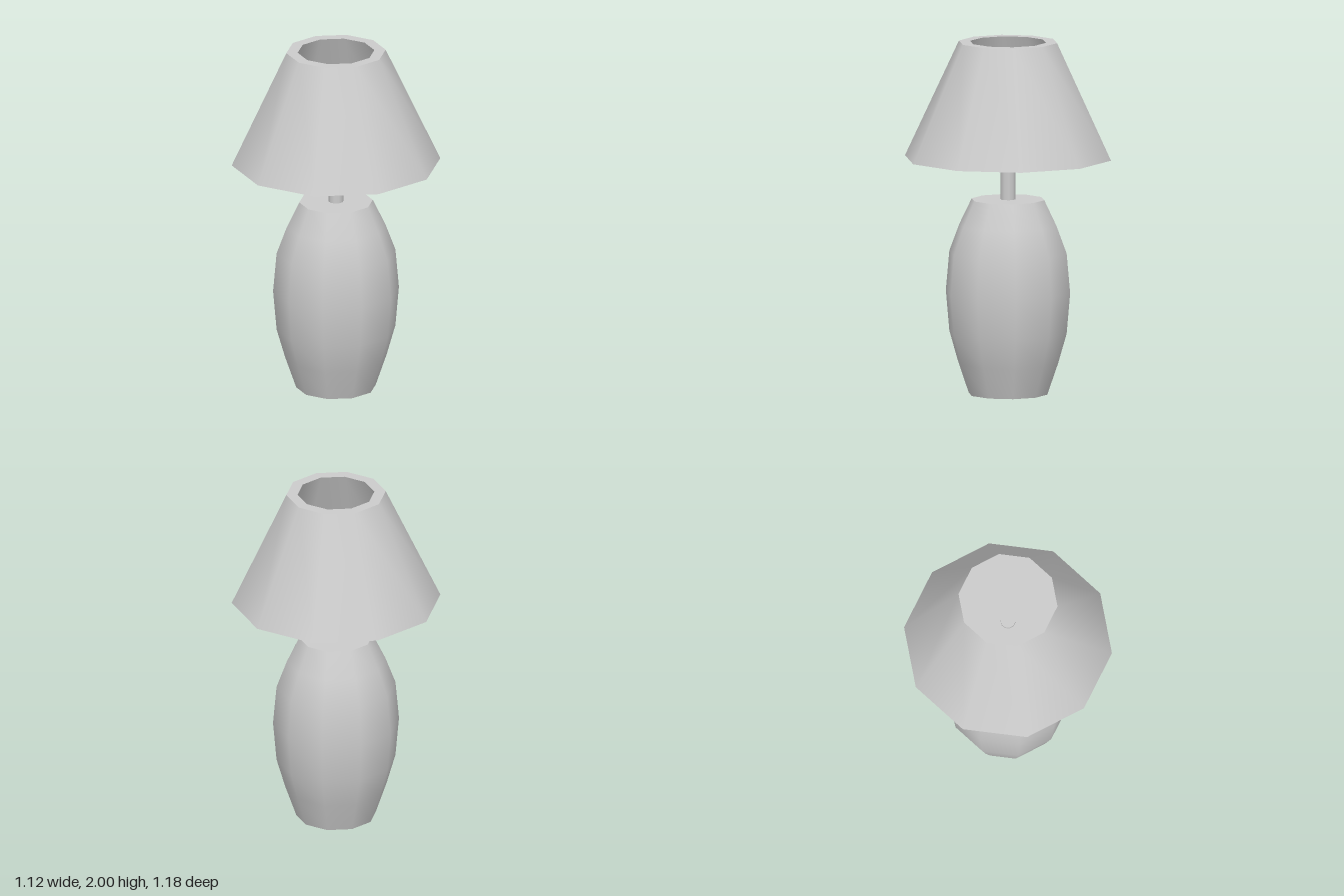
import * as THREE from 'three';
import { mergeGeometries } from 'three/addons/utils/BufferGeometryUtils.js';

const SIDES = 10;

// Turned part from runs of [radius, y]; smooth within a run, sharp between runs.
// Runs go round the section anticlockwise: bottom outwards, outside up, top inwards.
function turned(name, runs, material) {
  const bands = runs.map(run =>
    new THREE.LatheGeometry(run.map(([r, y]) => new THREE.Vector2(r, y)), SIDES));
  const mesh = new THREE.Mesh(mergeGeometries(bands), material);
  mesh.name = name;
  return mesh;
}

// Solid body: side profile from bottom to top, closed by flat caps.
function solid(name, side, material) {
  const first = side[0], last = side[side.length - 1];
  return turned(name, [[[0, first[1]], first], side, [last, [0, last[1]]]], material);
}

export function createModel() {
  const material = new THREE.MeshStandardMaterial({ color: 0xcccccc });
  const lamp = new THREE.Group();
  lamp.name = 'tableLamp';

  // Barrel-shaped base
  lamp.add(solid('base', [
    [0.225, 0], [0.287, 0.18], [0.336, 0.35], [0.356, 0.58],
    [0.336, 0.805], [0.278, 0.96], [0.208, 1.105],
  ], material));

  // Thin pole from the base up through the shade's carrier plate
  lamp.add(solid('pole', [[0.042, 1.09], [0.042, 1.66]], material));

  // Hollow conical shade with thick flat rims
  const outerLow = [0.59, 1.34], outerHigh = [0.281, 2];
  const innerLow = [0.49, 1.34], innerHigh = [0.217, 2];
  lamp.add(turned('shade', [
    [innerLow, outerLow], [outerLow, outerHigh],
    [outerHigh, innerHigh], [innerHigh, innerLow],
  ], material));

  // Plate inside the shade that joins it to the pole
  lamp.add(solid('shadePlate', [[0.37, 1.625], [0.362, 1.645]], material));

  return lamp;
}
